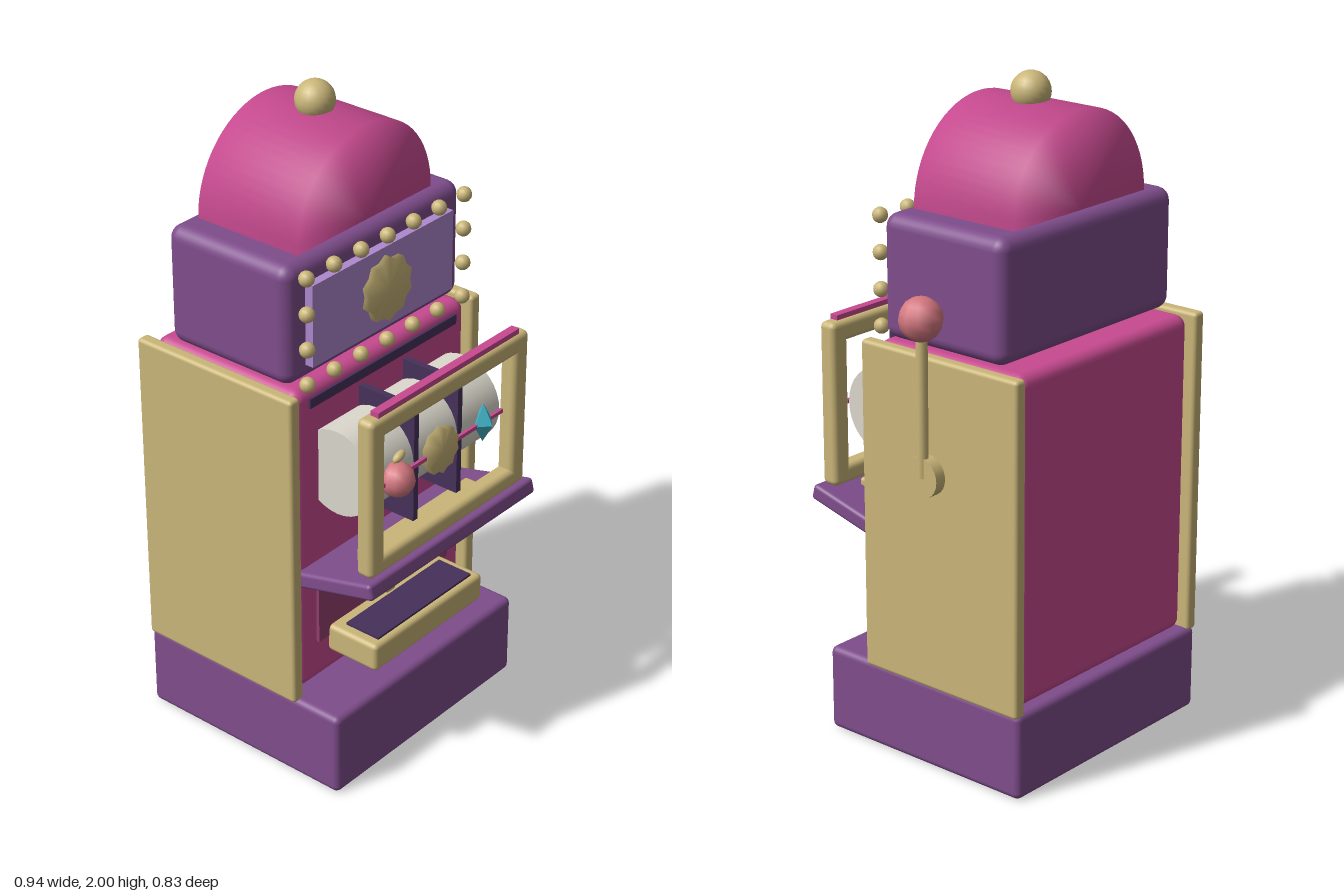
import * as THREE from 'three';
import { mergeVertices } from 'three/addons/utils/BufferGeometryUtils.js';
import { RoundedBoxGeometry } from 'three/addons/geometries/RoundedBoxGeometry.js';

const CX = -0.047; // centre line of the cabinet; the lever sits outside it

function material(name, color) {
  const m = new THREE.MeshStandardMaterial({ color });
  m.name = name;
  return m;
}

// Shares vertices across edges so the shading flows over them
function softened(geometry) {
  geometry.deleteAttribute('normal');
  geometry.deleteAttribute('uv');
  const g = mergeVertices(geometry, 1e-4);
  g.computeVertexNormals();
  return g;
}

// Scalloped medal facing +z
function medalGeometry(radius, depth) {
  const g = new THREE.CylinderGeometry(radius, radius, depth, 20);
  const p = g.attributes.position;
  for (let i = 0; i < p.count; i++) {
    const step = Math.round(Math.atan2(p.getX(i), p.getZ(i)) / (Math.PI / 10));
    const k = step % 2 ? 0.87 : 1;
    p.setXYZ(i, p.getX(i) * k, p.getY(i), p.getZ(i) * k);
  }
  return softened(g.rotateX(Math.PI / 2));
}

export function createModel() {
  const model = new THREE.Group();
  model.name = 'slotMachine';

  const purple = material('purple', 0x7f4d8c);
  const magenta = material('magenta', 0xc74a90);
  const plum = material('plum', 0x94406f);
  const gold = material('gold', 0xcab679);
  const lilac = material('lilac', 0xae88cd);
  const ivory = material('ivory', 0xdcd8cd);
  const dark = material('dark purple', 0x46315a);
  const coral = material('coral', 0xd47880);
  const cyan = material('cyan', 0x42b4c8);

  function add(name, geometry, mat, x, y, z) {
    const mesh = new THREE.Mesh(geometry, mat);
    mesh.name = name;
    mesh.position.set(x, y, z);
    model.add(mesh);
    return mesh;
  }

  // Box given by its limits, with rounded edges when r > 0
  function box(name, mat, [x0, x1], [y0, y1], [z0, z1], r = 0) {
    const w = x1 - x0, h = y1 - y0, d = z1 - z0;
    const g = r ? new RoundedBoxGeometry(w, h, d, 3, r) : new THREE.BoxGeometry(w, h, d);
    return add(name, g, mat, (x0 + x1) / 2, (y0 + y1) / 2, (z0 + z1) / 2);
  }

  // Cabinet
  box('base', purple, [-0.46, 0.366], [0.005, 0.27], [-0.415, 0.32], 0.02);
  box('body', magenta, [-0.425, 0.331], [0.27, 1.26], [-0.39, 0.145], 0.035);
  for (const side of [-1, 1]) {
    const x = CX + side * 0.4;
    box('sidePanel', gold, [x - 0.021, x + 0.021], [0.26, 1.265], [-0.412, 0.165], 0.012);
  }

  // Lower front panel with diamond
  box('lowerPanel', plum, [-0.345, 0.25], [0.41, 0.68], [0.13, 0.155]);
  add('diamond', new THREE.BoxGeometry(0.142, 0.142, 0.025), gold, CX, 0.53, 0.165)
    .rotation.z = Math.PI / 4;

  // Coin tray
  box('coinTray', gold, [-0.3, 0.2], [0.355, 0.445], [0.145, 0.33], 0.015);
  box('trayInsert', dark, [-0.265, 0.167], [0.443, 0.452], [0.19, 0.31]);

  // Sloping shelf and the ledge above it
  add('shelf', new RoundedBoxGeometry(0.756, 0.05, 0.3, 3, 0.012), purple, CX, 0.692, 0.268)
    .rotation.x = -0.25;
  box('shelfLedge', gold, [-0.3, 0.205], [0.7, 0.755], [0.255, 0.34], 0.01);

  // Reels and dividers
  for (const i of [-1, 0, 1]) {
    const reel = new THREE.CylinderGeometry(0.133, 0.133, 0.175, 32).rotateZ(Math.PI / 2);
    add('reel', reel, ivory, CX + i * 0.197, 1, 0.212);
  }
  for (const x of [CX - 0.098, CX + 0.098]) {
    box('reelDivider', dark, [x - 0.01, x + 0.01], [0.81, 1.18], [0.13, 0.345]);
  }
  box('windowSlot', dark, [-0.37, 0.276], [1.2, 1.23], [0.13, 0.152]);

  // Window frame
  const frameZ = [0.337, 0.395];
  box('frameTop', gold, [-0.4, 0.306], [1.19, 1.253], frameZ, 0.018);
  box('frameBottom', gold, [-0.4, 0.306], [0.75, 0.808], frameZ, 0.018);
  for (const side of [-1, 1]) {
    const x = CX + side * 0.321;
    box('framePost', gold, [x - 0.032, x + 0.032], [0.75, 1.253], frameZ, 0.018);
  }
  box('frameTrim', magenta, [-0.36, 0.268], [1.245, 1.268], [0.357, 0.384]);

  // Reel symbols on the pay line
  box('payLine', magenta, [-0.335, 0.24], [0.994, 1.006], [0.347, 0.357]);
  add('cherry', new THREE.SphereGeometry(0.052, 12, 8), coral, CX - 0.197, 0.997, 0.358);
  const leaf = add('cherryLeaf', new THREE.SphereGeometry(0.026, 10, 6), gold, -0.228, 1.06, 0.35);
  leaf.scale.set(1, 0.5, 0.5);
  leaf.rotation.z = 0.4;
  add('reelMedal', medalGeometry(0.073, 0.025), gold, CX, 1, 0.353);
  add('gem', new THREE.OctahedronGeometry(0.063), cyan, CX + 0.197, 1, 0.353).scale.set(0.6, 1, 0.55);

  // Sign with medal and bulbs
  box('signBox', purple, [-0.425, 0.331], [1.268, 1.632], [-0.325, 0.12], 0.04);
  box('signFace', lilac, [-0.352, 0.258], [1.32, 1.57], [0.1, 0.147]);
  add('signMedal', medalGeometry(0.1, 0.025), gold, CX, 1.447, 0.155);
  const bulb = new THREE.SphereGeometry(0.023, 12, 8);
  for (let col = -3; col <= 3; col++) {
    const rows = Math.abs(col) === 3 ? [0, 1, 2, 3] : [0, 3];
    for (const row of rows) {
      add('bulb', bulb, gold, CX + col * 0.1135, 1.286 + row * 0.108, 0.157);
    }
  }

  // Arched crown and finial
  const arch = new THREE.CylinderGeometry(0.287, 0.287, 0.362, 32, 1, false, Math.PI / 2, Math.PI);
  add('crown', softened(arch.rotateX(Math.PI / 2)), magenta, CX, 1.632, -0.103);
  add('finial', new THREE.SphereGeometry(0.058, 20, 14), gold, CX, 1.942, -0.103);

  // Pull lever
  const hub = new THREE.CylinderGeometry(0.06, 0.06, 0.045, 24).rotateZ(Math.PI / 2);
  add('leverHub', hub, gold, 0.388, 0.922, -0.092);
  add('leverRod', new THREE.CylinderGeometry(0.017, 0.017, 0.45, 14), gold, 0.4, 1.147, -0.092);
  add('leverKnob', new THREE.SphereGeometry(0.064, 10, 8), coral, 0.404, 1.385, -0.094);

  return model;
}
